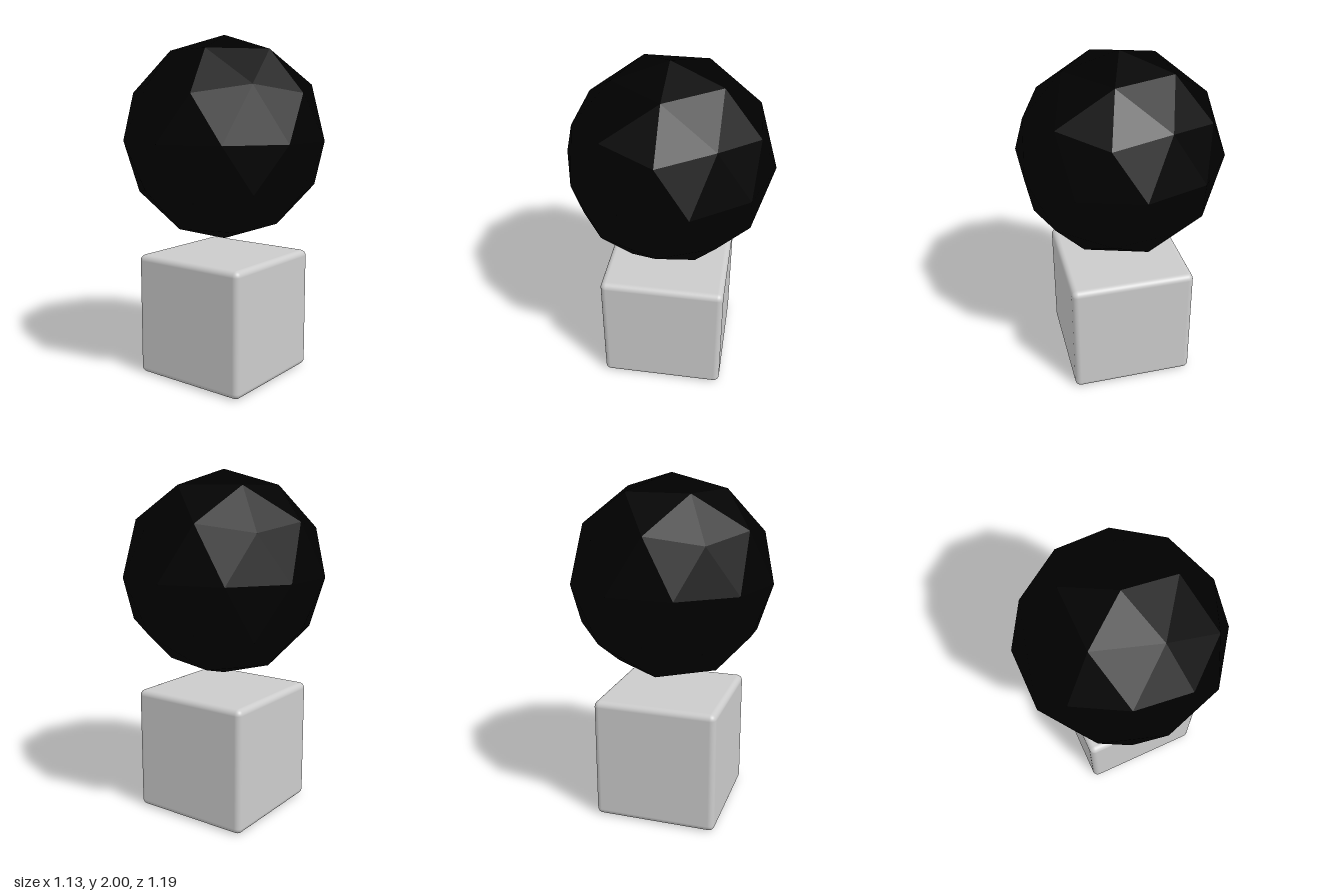
import * as THREE from 'three';
import { RoundedBoxGeometry } from 'three/addons/geometries/RoundedBoxGeometry.js';

const BOX_SIZE = 0.727;
const BALL_RADIUS = 0.594;

export function createModel() {
  const model = new THREE.Group();
  model.name = 'ballAboveBlock';

  // Block with softly rounded edges, resting on the ground
  const block = new THREE.Mesh(
    new RoundedBoxGeometry(BOX_SIZE, BOX_SIZE, BOX_SIZE, 4, 0.035),
    new THREE.MeshStandardMaterial({ color: 0xcccccc })
  );
  block.name = 'block';
  block.position.y = BOX_SIZE / 2;
  model.add(block);

  // Faceted ball floating above, turned so that one vertex points straight up
  const goldenRatio = (1 + Math.sqrt(5)) / 2;
  const ballGeometry = new THREE.IcosahedronGeometry(BALL_RADIUS, 1);
  ballGeometry.rotateZ(-Math.atan(1 / goldenRatio));
  const ball = new THREE.Mesh(
    ballGeometry,
    new THREE.MeshStandardMaterial({ color: 0x000000, flatShading: true })
  );
  ball.name = 'ball';
  ball.position.y = 2 - BALL_RADIUS;
  model.add(ball);

  return model;
}
